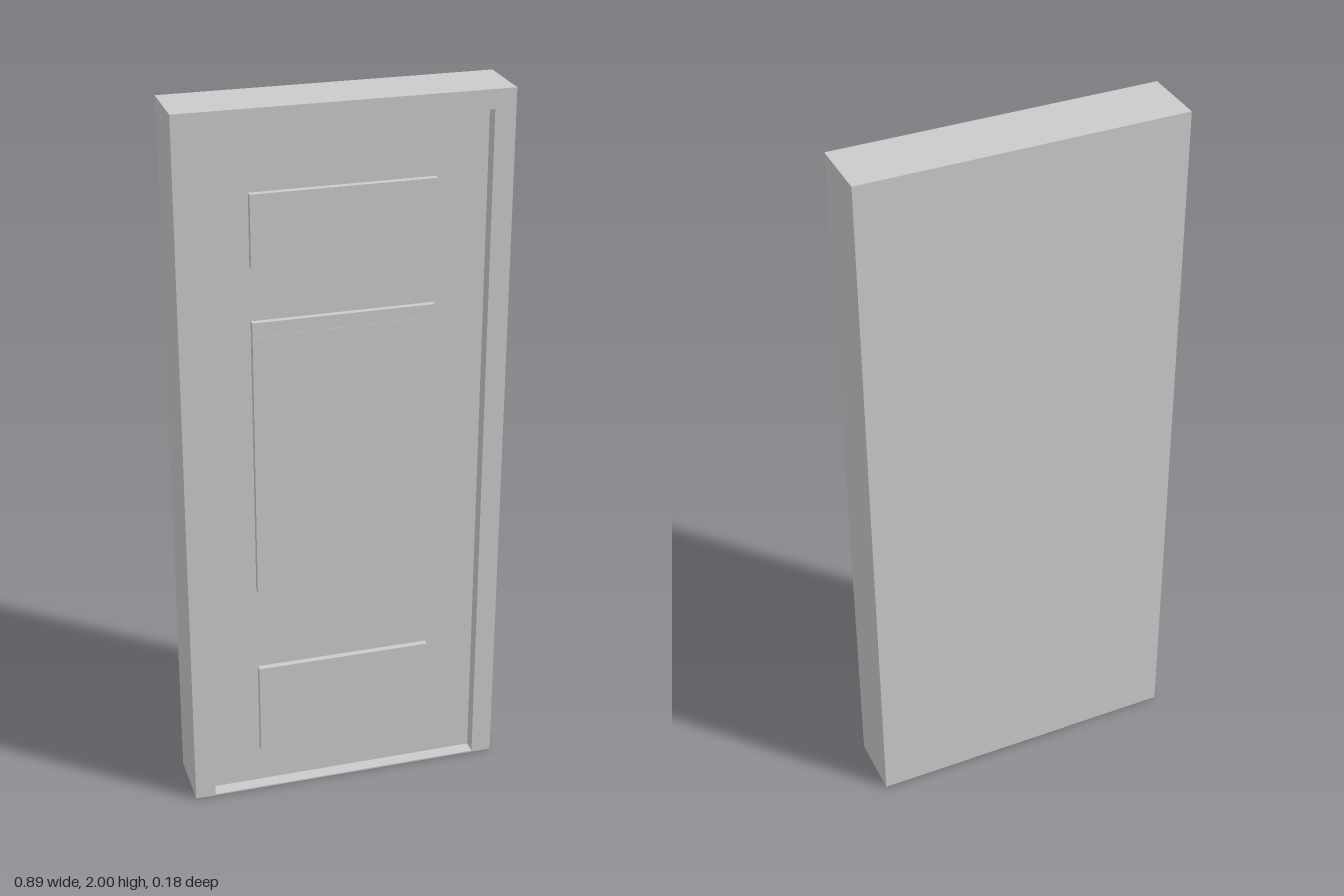
import * as THREE from 'three';

const W = 0.89, H = 2, D = 0.18;          // overall size
const OPEN_W = 0.776, OPEN_H = 1.948;     // opening inside the frame
const LEAF_Z = 0.052, PANEL_Z = 0.07;     // front of the leaf and of its raised panels

export function createModel() {
  const door = new THREE.Group();
  door.name = 'panelledDoor';
  const material = new THREE.MeshStandardMaterial({ color: 0xcccccc, flatShading: true });

  const add = (name, geometry) => {
    const mesh = new THREE.Mesh(geometry, material);
    mesh.name = name;
    door.add(mesh);
  };
  // Box given by its width, its bottom and top, and its back and front
  const slab = (name, width, y0, y1, z0, z1) => {
    const geometry = new THREE.BoxGeometry(width, y1 - y0, z1 - z0);
    geometry.translate(0, (y0 + y1) / 2, (z0 + z1) / 2);
    add(name, geometry);
  };

  // Frame: two jambs and a head in one piece, open at the floor
  const w = W / 2, o = OPEN_W / 2;
  const outline = [[-w, 0], [-o, 0], [-o, OPEN_H], [o, OPEN_H], [o, 0], [w, 0], [w, H], [-w, H]];
  const frameShape = new THREE.Shape(outline.map(([x, y]) => new THREE.Vector2(x, y)));
  const frame = new THREE.ExtrudeGeometry(frameShape, { depth: D, bevelEnabled: false });
  frame.translate(0, 0, -D / 2);
  add('frame', frame);

  // Recessed leaf, flush with the frame at the back, and a thin sill before it
  slab('leaf', OPEN_W, 0, OPEN_H, -D / 2, LEAF_Z);
  slab('sill', OPEN_W, 0, 0.004, LEAF_Z, D / 2);

  // Raised panels
  slab('topPanel', 0.494, 1.58, 1.775, LEAF_Z, PANEL_Z);
  slab('middlePanel', 0.494, 0.635, 1.393, LEAF_Z, PANEL_Z);
  slab('bottomPanel', 0.494, 0.148, 0.387, LEAF_Z, PANEL_Z);

  // Narrow strips that finish the middle and bottom panels
  slab('middlePanelStrip', 0.494, 1.393, 1.43, LEAF_Z, PANEL_Z - 0.001);
  slab('bottomPanelStrip', 0.494, 0.115, 0.148, LEAF_Z, PANEL_Z - 0.001);

  return door;
}
